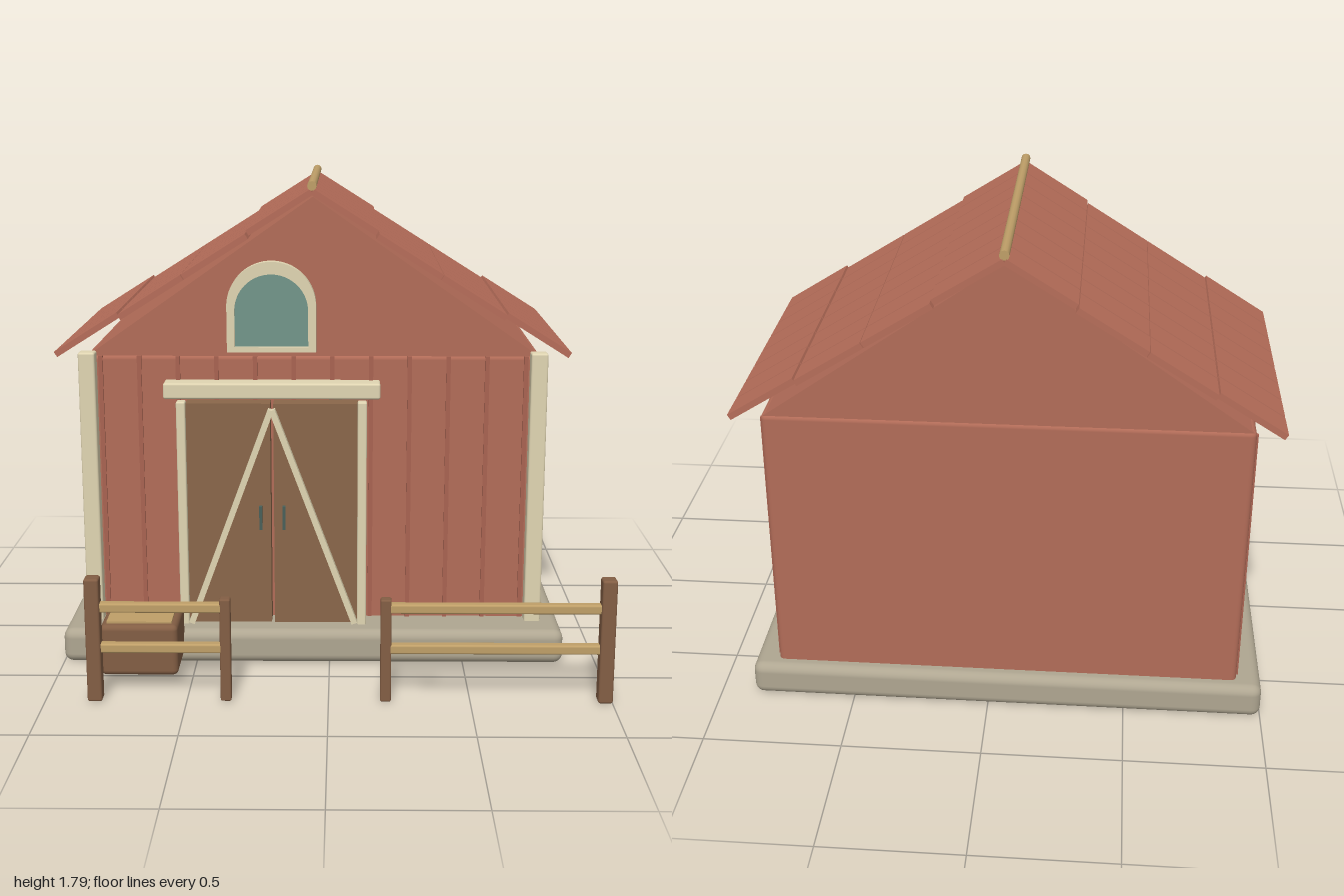
import * as THREE from 'three';
import { RoundedBoxGeometry } from 'three/addons/geometries/RoundedBoxGeometry.js';

const material = (name, color) => {
  const m = new THREE.MeshStandardMaterial({ color });
  m.name = name;
  return m;
};

export function createModel() {
  const red = material('barn red', 0xb26c58);
  const darkRed = material('batten red', 0xa86351);
  const roofRed = material('roof red', 0xb56d59);
  const cream = material('cream trim', 0xe0d5b2);
  const stone = material('stone', 0xafa691);
  const doorBrown = material('door brown', 0x8a674a);
  const brown = material('post brown', 0x835e44);
  const straw = material('straw wood', 0xbf9f68);
  const teal = material('window teal', 0x72968a);
  const iron = material('dark iron', 0x48605a);

  const model = new THREE.Group();
  model.name = 'barn';
  const CX = -0.0625; // barn centre line
  const DX = -0.214;  // door and window centre line

  const add = (name, geometry, mat, parent = model) => {
    const mesh = new THREE.Mesh(geometry, mat);
    mesh.name = name;
    parent.add(mesh);
    return mesh;
  };
  // Box given by its limits on each axis, with optional rounded edges
  const block = (name, mat, [x0, x1], [y0, y1], [z0, z1], r = 0, parent = model) => {
    const s = [x1 - x0, y1 - y0, z1 - z0];
    const g = r ? new RoundedBoxGeometry(...s, 3, r) : new THREE.BoxGeometry(...s);
    const mesh = add(name, g, mat, parent);
    mesh.position.set((x0 + x1) / 2, (y0 + y1) / 2, (z0 + z1) / 2);
    return mesh;
  };
  const group = (name) => {
    const g = new THREE.Group();
    g.name = name;
    model.add(g);
    return g;
  };

  // Foundation and walls
  block('foundation', stone, [-1, 0.876], [0, 0.13], [-0.73, 0.382], 0.035);
  block('walls', red, [CX - 0.846, CX + 0.846], [0.1, 1.15], [-0.68, 0.213], 0.02);

  // Gable
  const triangle = new THREE.Shape();
  triangle.moveTo(CX - 0.836, 1.145);
  triangle.lineTo(CX + 0.836, 1.145);
  triangle.lineTo(CX, 1.73);
  const gable = add('gable', new THREE.ExtrudeGeometry(triangle, { depth: 0.888, bevelEnabled: false }), red);
  gable.position.z = -0.677;

  // Wall battens on the front and both sides
  const battens = group('battens');
  for (let i = 0; i < 12; i++) {
    const x = CX - 0.788 + i * 0.1433;
    block('frontBatten', darkRed, [x - 0.008, x + 0.008], [0.12, 1.145], [0.2, 0.222], 0, battens);
  }
  for (let i = 0; i < 7; i++) {
    const z = 0.18 - i * 0.136;
    for (const s of [-1, 1]) {
      const x = CX + s * 0.845;
      block('sideBatten', darkRed, [x - 0.009, x + 0.009], [0.12, 1.122], [z - 0.007, z + 0.007], 0, battens);
    }
  }

  // Corner posts
  for (const s of [-1, 1]) {
    const x = CX + s * 0.833;
    block('cornerPost', cream, [x - 0.031, x + 0.031], [0.12, 1.165], [0.208, 0.266], 0.008);
  }

  // Roof of separate shingles, all at one pitch, with the middle rows sagging a little
  const roof = group('roof');
  const run = 0.936, drop = 0.589, rows = 4;
  const length = Math.hypot(run, drop) / rows;
  for (const s of [-1, 1]) {
    for (let r = 0; r < rows; r++) {
      const t = (r + 0.5) / rows;
      const y = 1.763 - drop * t - 0.02 * Math.sin(Math.PI * t);
      for (let i = 0; i < 8; i++) {
        const shingle = add('shingle', new THREE.BoxGeometry(length - 0.003, 0.022, 0.125), roofRed, roof);
        shingle.position.set(CX + s * run * t, y, -0.679 + i * 0.1325);
        shingle.rotation.z = -s * Math.atan2(drop, run);
      }
    }
  }
  const ridge = add('ridgePole', new THREE.CylinderGeometry(0.017, 0.017, 1.06, 12), straw, roof);
  ridge.rotation.x = Math.PI / 2;
  ridge.position.set(CX, 1.776, -0.21);

  // Double door with frame, header, diagonal braces and handles
  const door = group('door');
  for (const s of [-1, 1]) {
    const limits = (a, b) => [DX + Math.min(s * a, s * b), DX + Math.max(s * a, s * b)];
    block('doorLeaf', doorBrown, limits(0.006, 0.318), [0.12, 0.98], [0.2, 0.285], 0, door);
    block('doorJamb', cream, limits(0.317, 0.351), [0.12, 0.99], [0.265, 0.308], 0.006, door);
    const brace = add('brace', new THREE.BoxGeometry(0.022, 0.88, 0.035), cream, door);
    brace.position.set(DX + s * 0.155, 0.548, 0.3);
    brace.rotation.z = s * Math.atan2(0.305, 0.825);
    block('handle', iron, limits(0.038, 0.049), [0.5, 0.59], [0.28, 0.3], 0, door);
  }
  block('doorHeader', cream, [-0.613, 0.186], [0.997, 1.056], [0.2, 0.29], 0.008, door);

  // Arched window
  const arch = (PathType, r, bottom, spring) => {
    const p = new PathType();
    p.moveTo(DX - r, bottom);
    p.lineTo(DX + r, bottom);
    p.lineTo(DX + r, spring);
    p.absarc(DX, spring, r, 0, Math.PI, false);
    p.closePath();
    return p;
  };
  const frameShape = arch(THREE.Shape, 0.164, 1.165, 1.335);
  frameShape.holes.push(arch(THREE.Path, 0.135, 1.185, 1.318));
  const frame = add('windowFrame', new THREE.ExtrudeGeometry(frameShape,
    { depth: 0.052, bevelEnabled: false, curveSegments: 24 }), cream);
  frame.position.z = 0.2;
  const glass = add('windowGlass', new THREE.ShapeGeometry(arch(THREE.Shape, 0.138, 1.18, 1.318), 24), teal);
  glass.position.z = 0.238;

  // Crate with a pale lid
  block('crate', brown, [-0.825, -0.545], [0.037, 0.228], [0.347, 0.589], 0.02);
  block('crateLid', straw, [-0.803, -0.568], [0.226, 0.235], [0.365, 0.562]);

  // Two fence sections, each with a tall outer and a short inner post
  const fence = group('fence');
  for (const [outer, inner] of [[-0.823, -0.361], [0.974, 0.201]]) {
    block('tallPost', brown, [outer - 0.026, outer + 0.026], [0.003, 0.456], [0.684, 0.738], 0.008, fence);
    block('shortPost', brown, [inner - 0.019, inner + 0.019], [0.003, 0.381], [0.691, 0.729], 0.006, fence);
    const outerEnd = outer + Math.sign(outer) * 0.0265;
    const ends = [Math.min(outerEnd, inner), Math.max(outerEnd, inner)];
    for (const y of [0.347, 0.198]) {
      block('rail', straw, ends, [y - 0.017, y + 0.017], [0.694, 0.728], 0.007, fence);
    }
  }
  return model;
}
